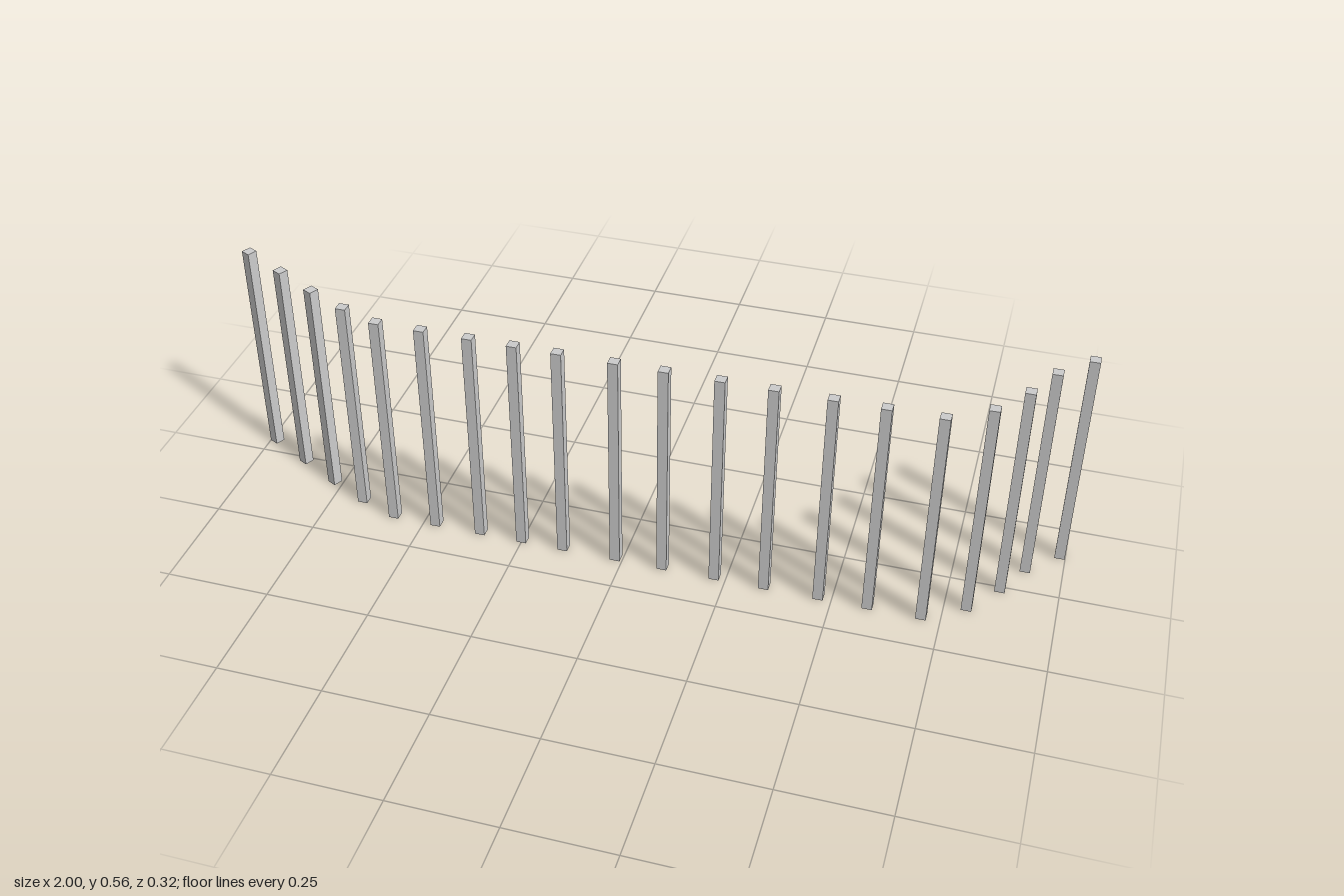
import * as THREE from 'three';

const SIZE = 0.024, HEIGHT = 0.562;

export function createModel() {
  const fence = new THREE.Group();
  fence.name = 'postRow';
  const geometry = new THREE.BoxGeometry(SIZE, HEIGHT, SIZE);
  geometry.translate(0, HEIGHT / 2, 0);
  const material = new THREE.MeshStandardMaterial({ color: 0xcccccc, flatShading: true });

  const addPosts = (name, spots, turn = 0) => spots.forEach(([x, z], i) => {
    const post = new THREE.Mesh(geometry, material);
    post.name = `${name}${i + 1}`;
    post.position.set(x, 0, z);
    post.rotation.y = turn;
    fence.add(post);
  });

  // Turned posts at the right end
  addPosts('turnedPost', [[-0.984, -0.046], [-0.876, 0.012], [-0.772, 0.069]], -0.46);

  // Corner post leading into the straight front run
  addPosts('cornerPost', [[-0.673, 0.116]]);

  // Straight front run
  const frontX = [-0.577, -0.469, -0.355, -0.25, -0.147, -0.017, 0.097, 0.223, 0.341, 0.469, 0.583, 0.706];
  addPosts('frontPost', frontX.map((x) => [x, 0.15]));

  // Posts curving back at the left end
  addPosts('returnPost', [[0.801, 0.092], [0.866, 0.008], [0.914, -0.079], [0.987, -0.15]]);

  return fence;
}
